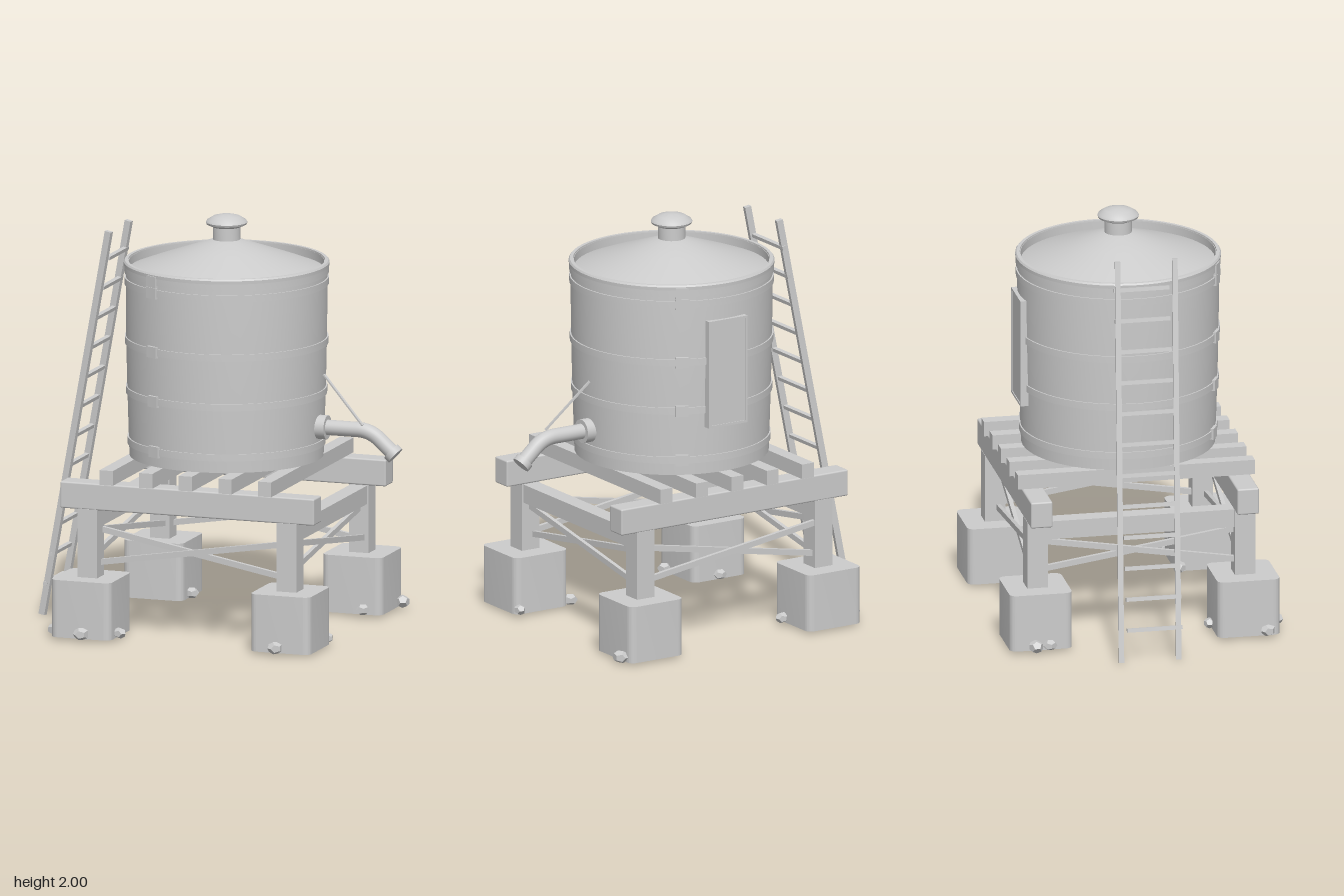
import * as THREE from 'three';
import { toCreasedNormals } from 'three/addons/utils/BufferGeometryUtils.js';
import { RoundedBoxGeometry } from 'three/addons/geometries/RoundedBoxGeometry.js';

const mat = new THREE.MeshStandardMaterial({ color: 0xcccccc, side: THREE.DoubleSide });
const rockMat = new THREE.MeshStandardMaterial({ color: 0xcccccc, flatShading: true });
const V = (x, y, z) => new THREE.Vector3(x, y, z);

function add(parent, name, geo, pos = [0, 0, 0], material = mat) {
  const m = new THREE.Mesh(geo, material);
  m.name = name;
  m.position.set(...pos);
  parent.add(m);
  return m;
}

const box = (parent, name, size, pos) => add(parent, name, new THREE.BoxGeometry(...size), pos);

const lathe = (pts, seg = 64) => toCreasedNormals(
  new THREE.LatheGeometry(pts.map(p => new THREE.Vector2(...p)), seg), 0.5);

// Square bar running between two points
function bar(parent, name, a, b, w, h) {
  const m = box(parent, name, [w, h, a.distanceTo(b)], a.clone().lerp(b, 0.5).toArray());
  m.lookAt(b);
  return m;
}

// Stone footing: square with rounded vertical corners
function footingGeometry(size, height, r) {
  const s = size / 2, q = s - r, shape = new THREE.Shape();
  shape.absarc(q, q, r, 0, Math.PI / 2);
  shape.absarc(-q, q, r, Math.PI / 2, Math.PI);
  shape.absarc(-q, -q, r, Math.PI, Math.PI * 1.5);
  shape.absarc(q, -q, r, Math.PI * 1.5, Math.PI * 2);
  const geo = new THREE.ExtrudeGeometry(shape, { depth: height, bevelEnabled: false, curveSegments: 5 });
  return toCreasedNormals(geo.rotateX(-Math.PI / 2), 0.6);
}

function buildStand(root) {
  const stand = new THREE.Group();
  stand.name = 'stand';
  root.add(stand);
  const P = 0.508;
  const footing = footingGeometry(0.305, 0.28, 0.035);
  for (const sx of [-1, 1]) {
    for (const sz of [-1, 1]) {
      add(stand, 'footing', footing, [sx * P, 0.01, sz * P]);
      box(stand, 'post', [0.1, 0.34, 0.1], [sx * P, 0.455, sz * P]);
    }
    box(stand, 'sideRail', [0.085, 0.09, 0.92], [sx * P, 0.575, 0]);
    add(stand, 'mainBeam', new RoundedBoxGeometry(1.295, 0.13, 0.106, 2, 0.008), [0, 0.687, sx * 0.505]);
    // Crossed braces, on the front or back and on one side
    for (const k of [-1, 1]) {
      const y0 = 0.437 - k * 0.078, y1 = 0.437 + k * 0.078, off = sx * P + k * 0.01;
      bar(stand, 'brace', V(-0.47, y0, off), V(0.47, y1, off), 0.02, 0.028);
      bar(stand, 'brace', V(off, y0, -0.47), V(off, y1, 0.47), 0.02, 0.028);
    }
  }
  for (let i = -2; i <= 2; i++) box(stand, 'joist', [0.068, 0.072, 1.16], [i * 0.202, 0.789, 0]);
}

// Small rocks lying around the footings: x, z, size
function buildRocks(root) {
  const rocks = [
    [-0.68, -0.54, 0.042], [-0.67, -0.47, 0.036], [-0.34, -0.45, 0.036],
    [0.68, -0.6, 0.042], [0.57, -0.345, 0.036], [-0.66, 0.6, 0.04],
    [-0.5, 0.665, 0.042], [-0.335, 0.58, 0.036], [0.49, 0.665, 0.042],
    [0.34, 0.37, 0.038], [0.64, 0.35, 0.034], [-0.5, 0.345, 0.034]
  ];
  rocks.forEach(([x, z, s], i) => {
    const m = add(root, 'rock', new THREE.DodecahedronGeometry(s), [x, 0.036, z], rockMat);
    m.scale.set(1, 0.75, 0.85);
    m.rotation.y = i * 1.7;
  });
}

const tankRadius = y => 0.466 + 0.018 * Math.sin(Math.min(1, (y - 0.825) / 0.85) * Math.PI / 2);

function buildTank(root) {
  const tank = new THREE.Group();
  tank.name = 'tank';
  root.add(tank);
  const wall = [];
  for (let i = 0; i <= 8; i++) {
    const y = 0.825 + 0.94 * i / 8;
    wall.push([tankRadius(y), y]);
  }
  add(tank, 'tankWall', lathe([[0, 0.825], ...wall, [0.468, 1.77], [0.468, 1.72]]));
  add(tank, 'rim', lathe([[0.47, 1.752], [0.493, 1.752], [0.494, 1.768], [0.488, 1.776], [0.472, 1.776], [0.468, 1.73]]));

  // Lid with neck and knob
  add(tank, 'lid', lathe([[0.474, 1.728], [0.36, 1.772], [0.2, 1.829], [0.055, 1.88], [0, 1.882]]));
  add(tank, 'lidNeck', lathe([[0.066, 1.868], [0.066, 1.945]], 32));
  add(tank, 'lidKnob', lathe([[0, 1.938], [0.07, 1.938], [0.096, 1.95], [0.1, 1.96], [0.094, 1.97],
    [0.065, 1.988], [0.03, 1.997], [0, 2]], 40));

  // Hoops, each closed by two opposite clasps
  for (const y of [1.735, 1.68, 1.39, 1.147, 0.9]) {
    const r = tankRadius(y), o = r + 0.007, h = 0.017;
    add(tank, 'hoop', lathe([[r - 0.01, y - h], [o, y - h], [o, y + h], [r - 0.01, y + h]]));
    for (const a of [0, Math.PI]) {
      const t = a - 0.47;
      const clasp = box(tank, 'clasp', [0.062, 0.054, 0.03],
        [Math.sin(t) * r, y, Math.cos(t) * r]);
      clasp.rotation.y = t;
    }
  }

  // Blank sign board with a raised border on the back
  const board = new THREE.Group();
  board.name = 'signBoard';
  board.position.set(0, 1.325, -0.475);
  tank.add(board);
  box(board, 'signPanel', [0.21, 0.53, 0.044], [0, 0, 0]);
  for (const s of [-1, 1]) {
    box(board, 'signBorder', [0.012, 0.53, 0.052], [s * 0.104, 0, 0]);
    box(board, 'signBorder', [0.22, 0.012, 0.052], [0, s * 0.26, 0]);
  }
}

function buildSpout(root) {
  const spout = new THREE.Group();
  spout.name = 'spout';
  root.add(spout);
  const flange = add(spout, 'spoutFlange', new THREE.CylinderGeometry(0.058, 0.058, 0.06, 28), [0.485, 0.99, 0]);
  flange.rotation.z = Math.PI / 2;
  const path = new THREE.CurvePath();
  const bend = V(0.735, 0.99, 0), end = V(0.845, 0.89, 0);
  path.add(new THREE.LineCurve3(V(0.46, 0.99, 0), V(0.67, 0.99, 0)));
  path.add(new THREE.QuadraticBezierCurve3(V(0.67, 0.99, 0), bend, V(0.783, 0.946, 0)));
  path.add(new THREE.LineCurve3(V(0.783, 0.946, 0), end));
  add(spout, 'spoutPipe', new THREE.TubeGeometry(path, 40, 0.037, 24));
  const dir = end.clone().sub(bend).normalize();
  const lip = add(spout, 'spoutLip', new THREE.CylinderGeometry(0.046, 0.046, 0.03, 28), [0.85, 0.885, 0]);
  lip.quaternion.setFromUnitVectors(V(0, 1, 0), dir);
  bar(spout, 'spoutStay', V(0.48, 1.238, 0), V(0.71, 1.022, 0), 0.014, 0.008);
}

function buildLadder(root) {
  const ladder = new THREE.Group();
  ladder.name = 'ladder';
  root.add(ladder);
  const foot = V(-0.907, 0.003, 0), top = V(-0.53, 1.906, 0);
  for (const s of [-1, 1]) {
    const off = V(0, 0, s * 0.14);
    bar(ladder, 'ladderRail', foot.clone().add(off), top.clone().add(off), 0.026, 0.032);
  }
  for (let i = 0; i < 12; i++) {
    const p = foot.clone().lerp(top, (0.152 + i * 0.147) / 1.906);
    const rung = box(ladder, 'ladderRung', [0.02, 0.018, 0.27], p.toArray());
    rung.rotation.z = -0.195;
  }
}

export function createModel() {
  const model = new THREE.Group();
  model.name = 'waterTower';
  const body = new THREE.Group();
  body.name = 'tower';
  body.position.set(0.01, 0, -0.027);
  model.add(body);
  buildStand(body);
  buildRocks(body);
  buildTank(body);
  buildSpout(body);
  buildLadder(body);
  return model;
}
